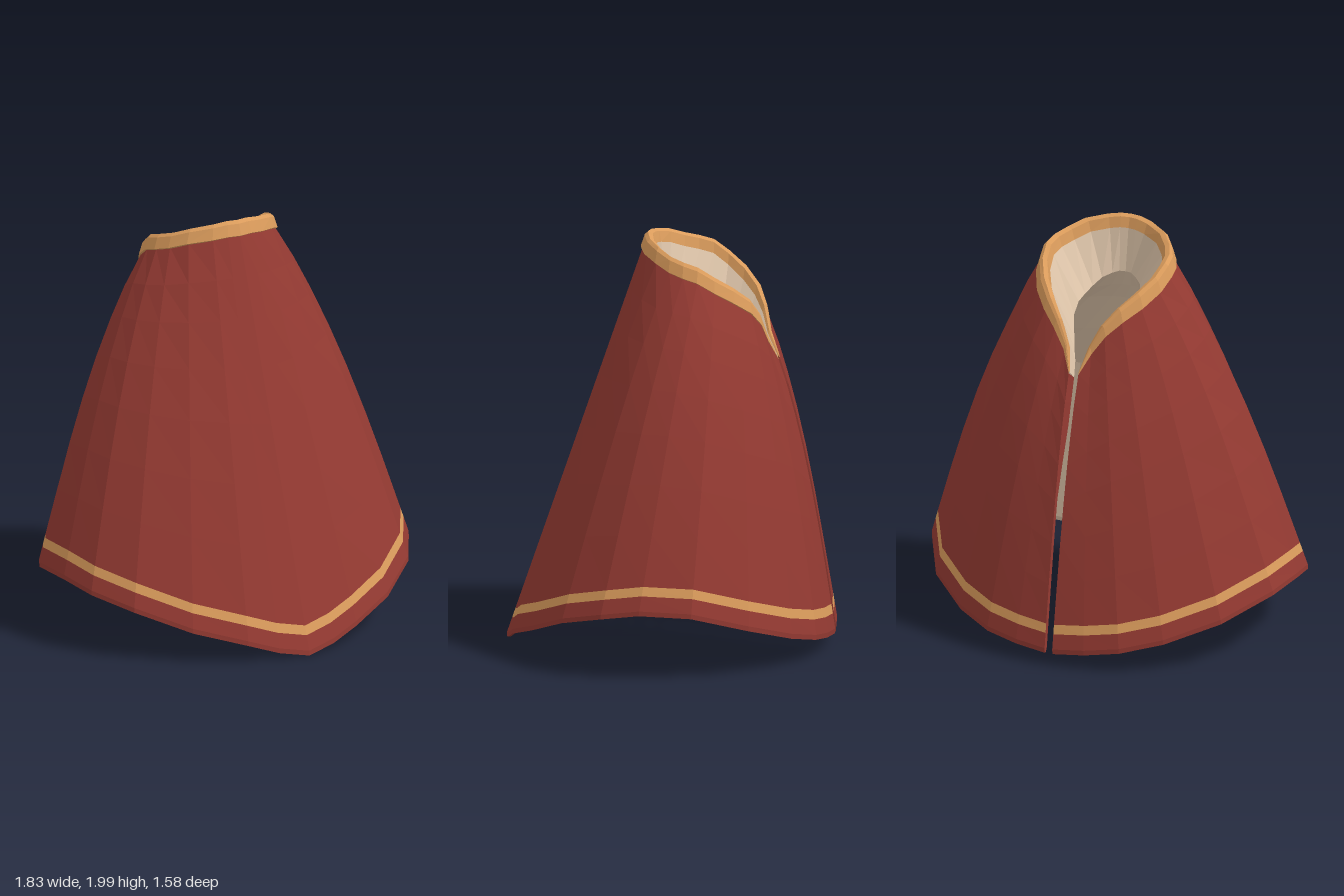
import * as THREE from 'three';

// Half outline of the cape from front centre round to the back slit: [x, y, z]
const HEM = [[0, .01, .79], [.15, .04, .765], [.3, .09, .725], [.54, .16, .61], [.76, .25, .43],
  [.88, .3, .23], [.92, .33, .04], [.91, .32, -.21], [.76, .235, -.47], [.54, .155, -.65],
  [.35, .11, -.745], [.18, .085, -.78], [.02, .07, -.795]];
const NECK = [[0, 1.93, .13], [.06, 1.93, .12], [.13, 1.92, .1], [.23, 1.9, .04], [.29, 1.87, -.03],
  [.325, 1.85, -.1], [.335, 1.83, -.17], [.32, 1.78, -.25], [.27, 1.72, -.34], [.2, 1.66, -.41],
  [.13, 1.59, -.45], [.07, 1.5, -.475], [.025, 1.4, -.52]];
// Neck opening of the lining: [x, drop below the neckline, z]
const HOLE = [[0, .2, .04], [.03, .2, .035], [.06, .2, .02], [.1, .2, -.01], [.125, .2, -.06],
  [.135, .2, -.12], [.14, .2, -.18], [.14, .2, -.23], [.11, .17, -.29], [.08, .14, -.35],
  [.05, .1, -.41], [.025, .06, -.45], [.012, .03, -.49]];
const BULGE = [0, 0, .01, .02, .04, .055, .06, .06, .05, .045, .04, .035, .03];
const COLLAR = [1, 1, 1, 1, 1, 1, 1, 1, 1, .9, .7, .45, .12];
const LAST = HEM.length - 1;

const vec = (p) => new THREE.Vector3(...p);
const mix = (a, b, t) => a.clone().lerp(b, t);

// Cross-sections of one column: outer shell, lining and collar
function column(k) {
  const i = Math.abs(k);
  const hem = vec(HEM[i]), neck = vec(NECK[i]);
  const hole = new THREE.Vector3(HOLE[i][0], NECK[i][1] - HOLE[i][1], HOLE[i][2]);
  const out = new THREE.Vector3(hem.x, 0, hem.z).normalize();
  if (i === LAST) out.set(0, 0, -1);
  const length = hem.distanceTo(neck);
  const rows = [0, .1, .2, .32, .45, .6, .75, 1 - .147 / length, 1 - .1 / length, 1 - .025 / length, 1];
  const shell = rows.map((t) =>
    mix(neck, hem, t).addScaledVector(out, BULGE[i] * Math.sin(Math.PI * t ** .75)));
  shell[shell.length - 1].addScaledVector(out, -.006);

  const lining = shell.map((p, j) => {
    const q = p.clone().addScaledVector(out, j === shell.length - 1 ? -.012 : -.025);
    const w = Math.max(0, 1 - rows[j] / .45) ** 1.5;
    return q.lerp(new THREE.Vector3(hole.x, q.y, hole.z), w);
  });
  lining[0] = hole;
  lining[1] = mix(hole, lining[2], .5);

  const inward = new THREE.Vector3(hole.x - neck.x, 0, hole.z - neck.z).normalize();
  const s = COLLAR[i];
  const at = (d, h) => neck.clone().addScaledVector(inward, d * s).add(new THREE.Vector3(0, h * s, 0));
  const collar = [at(.008, -.012), at(-.012, 0), at(.006, .055), at(.022, .07), at(.045, .06), at(.06, .01)];

  const parts = { shell, lining, collar, hole };
  if (k < 0) [...new Set([...shell, ...lining, ...collar])].forEach((p) => { p.x *= -1; });
  return parts;
}

// Skin a list of cross-sections, each a list of points
function loft(sections, flip = false) {
  const pos = [], index = [], n = sections[0].length;
  sections.forEach((s) => s.forEach((p) => pos.push(p.x, p.y, p.z)));
  for (let c = 0; c < sections.length - 1; c++) {
    for (let r = 0; r < n - 1; r++) {
      const a = c * n + r, b = a + 1, d = a + n, e = d + 1;
      if (flip) index.push(a, e, b, a, d, e);
      else index.push(a, b, e, a, e, d);
    }
  }
  const g = new THREE.BufferGeometry();
  g.setAttribute('position', new THREE.Float32BufferAttribute(pos, 3));
  g.setIndex(index);
  g.computeVertexNormals();
  return g;
}

export function createModel() {
  const group = new THREE.Group();
  group.name = 'cape';
  const make = (name, color) => {
    const m = new THREE.MeshStandardMaterial({ color, flatShading: true, side: THREE.DoubleSide });
    m.name = name;
    return m;
  };
  const red = make('red cloth', 0x943a32);
  const gold = make('gold trim', 0xdb9c5c);
  const cream = make('cream lining', 0xdcc3a8);
  const add = (name, sections, material, flip) => {
    const mesh = new THREE.Mesh(loft(sections, flip), material);
    mesh.name = name;
    group.add(mesh);
  };

  const cols = [];
  for (let k = -LAST; k <= LAST; k++) cols.push(column(k));
  const end = cols[0].shell.length - 1;

  // Outer cloth with the trim band let in above the hem
  add('outerCloth', cols.map((c) => c.shell.slice(0, 8)), red);
  add('hemStripe', cols.map((c) => c.shell.slice(7, 9)), gold);
  add('hemBand', cols.map((c) => [...c.shell.slice(8), c.lining[end]]), red);

  // Inside of the cape, and the facing that folds in from the collar
  add('lining', cols.map((c) => c.lining), cream, true);
  add('neckFacing', cols.map((c) => [c.collar[5], c.hole]), cream, true);
  add('collar', cols.map((c) => c.collar), gold, true);

  // Edges of the back slit
  const [first, last] = [cols[0], cols[cols.length - 1]];
  add('rightSlitEdge', [first.lining, first.shell], red);
  add('leftSlitEdge', [last.shell, last.lining], red);
  return group;
}
